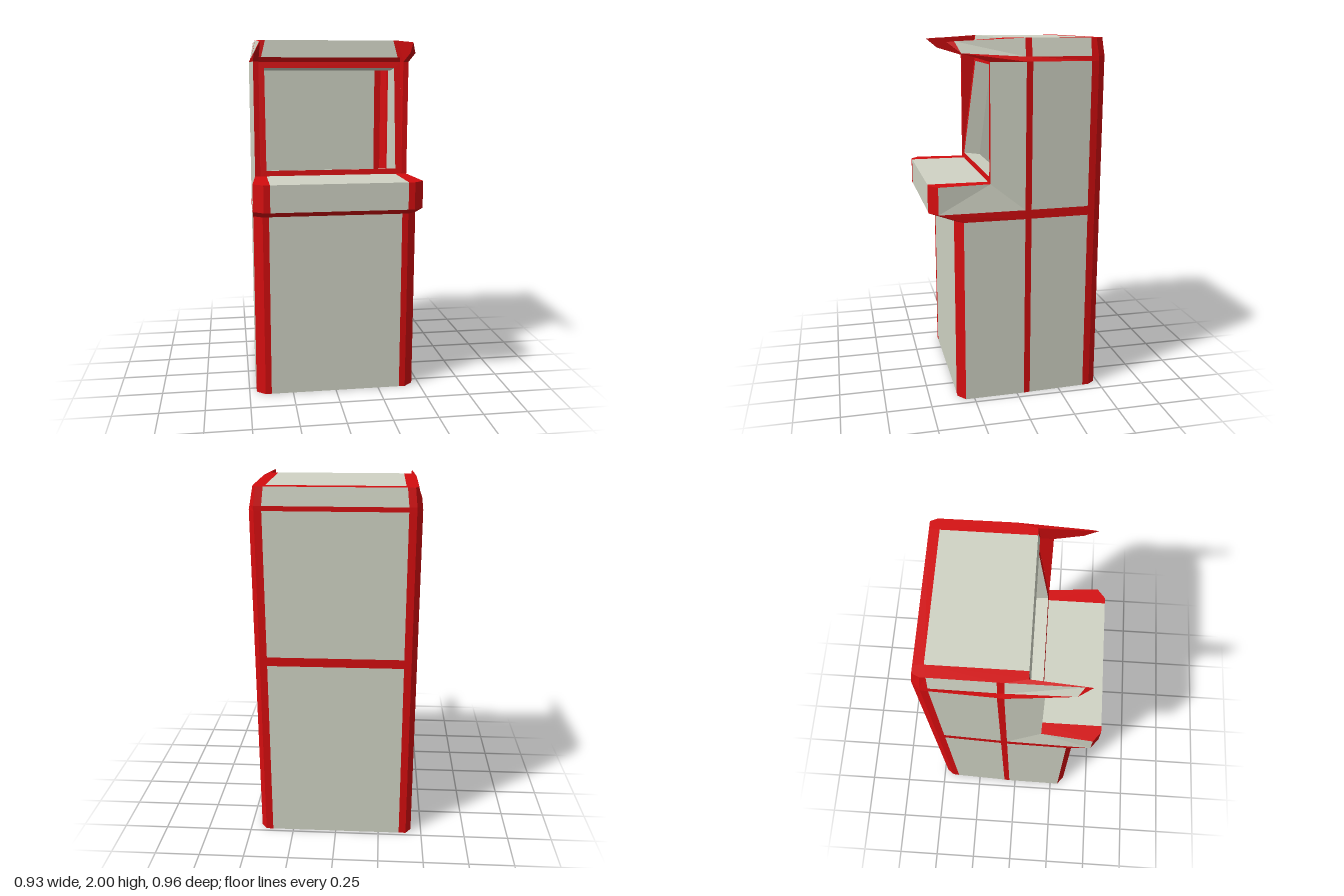
import * as THREE from 'three';

const grey = new THREE.MeshStandardMaterial({ color: 0xd0d3c4, side: THREE.DoubleSide });
grey.name = 'paleGreyPanel';
const red = new THREE.MeshStandardMaterial({ color: 0xd40d0f, side: THREE.DoubleSide });
red.name = 'redTrim';

const flip = ([x, y, z]) => [-x, y, z];

// Flat-faced mesh from convex polygons, each wound away from the cabinet axis (or towards it)
function faces(group, name, material, polygons, inward = false) {
  const pos = [];
  const [a, b, c, n] = Array.from({ length: 4 }, () => new THREE.Vector3());
  for (const poly of polygons) {
    for (let i = 1; i < poly.length - 1; i++) {
      const tri = [poly[0], poly[i], poly[i + 1]];
      a.fromArray(tri[0]); b.fromArray(tri[1]); c.fromArray(tri[2]);
      n.crossVectors(b.clone().sub(a), c.clone().sub(a));
      const out = a.clone().add(b).add(c).divideScalar(3).sub(new THREE.Vector3(0, 1, 0));
      if ((n.dot(out) < 0) !== inward) tri.reverse();
      pos.push(...tri.flat());
    }
  }
  const geo = new THREE.BufferGeometry();
  geo.setAttribute('position', new THREE.Float32BufferAttribute(pos, 3));
  geo.computeVertexNormals();
  const mesh = new THREE.Mesh(geo, material);
  mesh.name = name;
  group.add(mesh);
}

// Polygons on both sides of the cabinet
const both = (...polys) => polys.flatMap(p => [p, p.map(flip)]);
// Full-width quad between two points and their mirror images
const across = (p, q) => [p, q, flip(q), flip(p)];

export function createModel() {
  const g = new THREE.Group();
  g.name = 'arcadeCabinet';

  // Outline rings of the rear half: [x, z] from back panel edge to side seam
  const wall = [[0.37, -0.48], [0.41, -0.48], [0.44, -0.44], [0.443, -0.4], [0.455, -0.075], [0.457, -0.04]];
  const shoulder = [[0.37, -0.48], [0.41, -0.48], [0.435, -0.44], [0.438, -0.4], [0.44, -0.075], [0.44, -0.04]];
  const crown = [[0.36, -0.468], [0.4, -0.468], [0.418, -0.43], [0.418, -0.4], [0.42, -0.075], [0.42, -0.04]];
  const rings = [[0, wall], [1.04, wall], [1.09, wall], [1.88, wall], [1.905, shoulder], [2, crown]]
    .map(([y, pts]) => pts.map(([x, z]) => [x, y, z]));
  const [r0, r1, r2, r3, r4, r5] = rings;

  // Rear walls with red corner posts, side seams and horizontal bands
  const backPanels = [], sidePanels = [], posts = [], bands = [];
  for (let i = 0; i < 5; i++) {
    const lo = rings[i], hi = rings[i + 1], isBand = i === 1 || i === 3;
    (isBand ? bands : backPanels).push(across(lo[0], hi[0]));
    for (let j = 0; j < 5; j++) {
      const target = j !== 3 ? posts : isBand ? bands : sidePanels;
      target.push(...both([lo[j], lo[j + 1], hi[j + 1], hi[j]]));
    }
  }
  faces(g, 'backPanels', grey, backPanels);
  faces(g, 'rearSidePanels', grey, sidePanels);
  faces(g, 'cornerPostsAndSeams', red, posts);
  faces(g, 'rearBands', red, bands);

  // Front edge columns: side corner, chamfer corner, panel edge
  const lower = y => [[0.46, y, 0.3], [0.41, y, 0.34], [0.375, y, 0.34]];
  const desk = y => [[0.465, y, 0.435], [0.41, y, 0.48], [0.375, y, 0.48]];
  const f0 = lower(0), f1 = lower(1.04), f2 = desk(1.09), f3 = desk(1.24);
  const strips = (lo, hi) => [0, 1].flatMap(j => both([lo[j], lo[j + 1], hi[j + 1], hi[j]]));

  // Lower cabinet
  faces(g, 'lowerFrontPanel', grey, [across(f0[2], f1[2])]);
  faces(g, 'lowerFrontPosts', red, strips(f0, f1));
  faces(g, 'lowerSidePanels', grey, both([r0[5], f0[0], f1[0], r1[5]]));
  const half = [...r0, ...f0];
  faces(g, 'base', grey, [[...half, ...half.map(flip).reverse()]]);
  faces(g, 'deskUnderside', red, [across(f1[2], f2[2]), ...strips(f1, f2),
    ...both([r1[5], f1[0], f2[0], r2[5]])]);

  // Control desk
  faces(g, 'deskFront', grey, [across(f2[2], f3[2])]);
  faces(g, 'deskFrontCorners', red, strips(f2, f3));
  faces(g, 'deskTop', grey, [across([0.375, 1.24, 0.15], f3[2])]);
  const sideLow = [0.44, 1.24, 0.15], sideHigh = [0.44, 1.88, 0.15];
  faces(g, 'deskTopTrim', red, both([[0.375, 1.24, 0.15], f3[2], f3[1], f3[0], sideLow]));

  // Upper side panels, pinched in at the front edge
  faces(g, 'upperSidePanels', grey, both([sideLow, sideHigh, r3[5], r2[5], f2[0], f3[0]]));

  // Side visors reaching forward beside the marquee
  const brow = [0.44, 1.925, 0.3], browIn = [0.412, 1.925, 0.3];
  const tip = [0.41, 1.98, 0.37], tipBack = [0.412, 1.984, 0.33];
  const innerLow = [0.41, 1.24, 0.15], innerHigh = [0.41, 1.88, 0.15];
  const frameTop = [0.41, 1.88, 0.065], roofFront = [0.395, 2, 0.07];
  faces(g, 'visorSides', grey, both([r4[5], brow, tipBack, r5[5]]));
  faces(g, 'visorTrim', red, both(
    [r3[5], sideHigh, brow, r4[5]],
    [brow, tip, tipBack],
    [brow, browIn, tip],
    [innerHigh, sideHigh, brow, browIn],
    [r5[5], tipBack, tip, roofFront],
    [innerLow, sideLow, sideHigh, innerHigh]));
  faces(g, 'innerSideTrim', red, both(
    [frameTop, innerHigh, innerLow],
    [innerHigh, frameTop, roofFront, tip, browIn]), true);

  // Roof
  const roofA = [0.355, 2, -0.415], roofB = [0.355, 2, 0.07];
  faces(g, 'roofPanel', grey, [across(roofA, roofB)]);
  faces(g, 'roofTrim', red, [across(r5[0], roofA),
    ...both([roofA, roofB, roofFront, ...[...r5].reverse()])]);

  // Marquee
  const mTop = [0.368, 2, 0.07], mLow = [0.392, 1.905, 0.08], mEdge = [0.41, 1.905, 0.08];
  faces(g, 'marquee', grey, [across(mTop, mLow)]);
  faces(g, 'marqueeTrim', red, [...both([mTop, mLow, mEdge, roofFront]), across(mEdge, frameTop)]);

  // Tilted screen frame with a recessed lip; the cabinet behind is hollow
  const onFrame = (x, y) => [x, y, 0.15 - (y - 1.24) * 0.133];
  const outer = [onFrame(0.41, 1.24), onFrame(0.41, 1.88)];
  const inner = [onFrame(0.375, 1.27), onFrame(0.375, 1.845)];
  const sunk = inner.map(([x, y, z]) => [x, y - 0.013, z - 0.099]);
  faces(g, 'screenFrame', red, [across(outer[0], inner[0]), across(outer[1], inner[1]),
    ...both([outer[0], outer[1], inner[1], inner[0]])]);
  faces(g, 'screenLip', grey, [across(inner[0], sunk[0]), across(inner[1], sunk[1]),
    ...both([inner[0], inner[1], sunk[1], sunk[0]])], true);

  return g;
}
